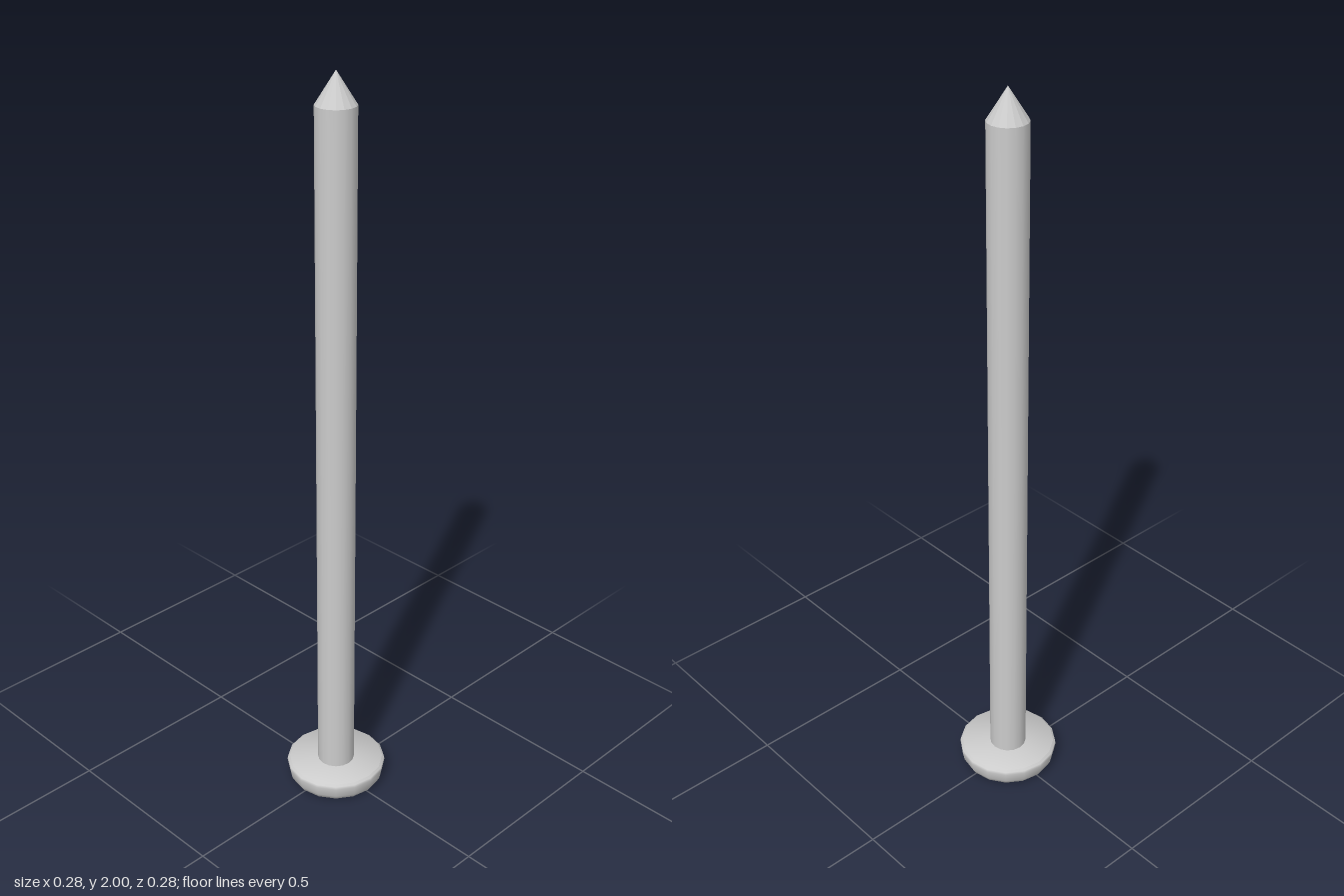
import * as THREE from 'three';
import { toCreasedNormals } from 'three/addons/utils/BufferGeometryUtils.js';

const SIDES = 16;
const HEAD_TOP = 0.058, TIP_BASE = 1.92, TOP = 2;
const SHAFT_RADIUS = 0.051;

export function createModel() {
  const group = new THREE.Group();
  group.name = 'nail';

  const add = (name, geometry, y, flatShading = false) => {
    const material = new THREE.MeshStandardMaterial({ color: 0xcccccc, flatShading });
    const mesh = new THREE.Mesh(geometry, material);
    mesh.name = name;
    mesh.position.y = y;
    group.add(mesh);
  };

  // Flat round head with a rounded lower rim and a small upper bevel
  const profile = [
    [0, 0], [0.115, 0], [0.126, 0.005], [0.133, 0.018],
    [0.138, 0.045], [0.137, 0.053], [0.131, HEAD_TOP], [0, HEAD_TOP],
  ].map(([r, y]) => new THREE.Vector2(r, y));
  add('head', toCreasedNormals(new THREE.LatheGeometry(profile, SIDES), 0.85), 0);

  // Long smooth shaft rising from the head
  const length = TIP_BASE - HEAD_TOP;
  add('shaft', new THREE.CylinderGeometry(SHAFT_RADIUS, SHAFT_RADIUS, length, SIDES, 1, true),
    HEAD_TOP + length / 2);

  // Faceted point
  const tipHeight = TOP - TIP_BASE;
  add('tip', new THREE.ConeGeometry(SHAFT_RADIUS, tipHeight, SIDES, 1, true),
    TIP_BASE + tipHeight / 2, true);

  return group;
}
